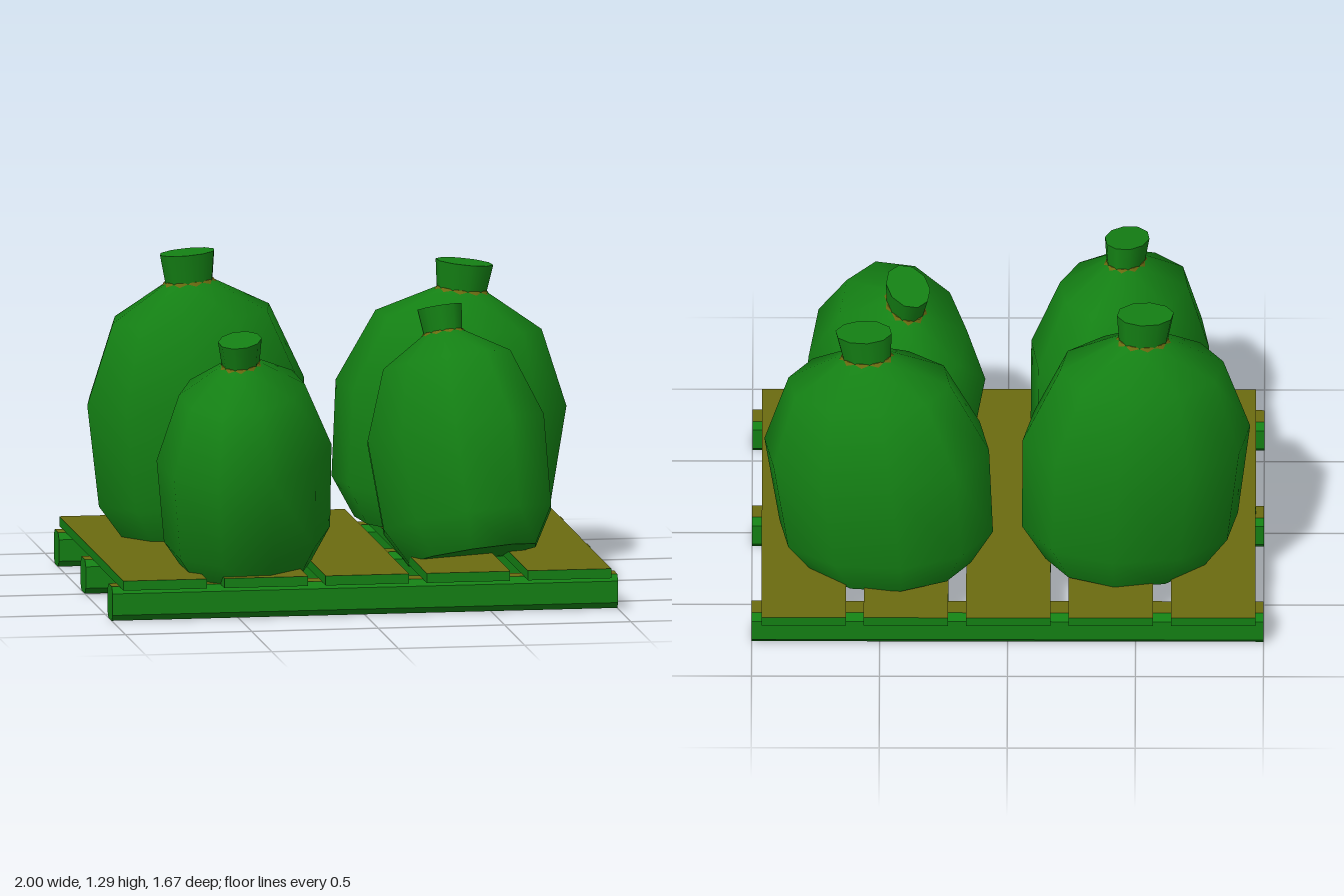
import * as THREE from 'three';

const green = new THREE.MeshStandardMaterial({ color: 0x148014 });
const olive = new THREE.MeshStandardMaterial({ color: 0x6b6b10 });
const rad = THREE.MathUtils.degToRad;

function add(parent, name, geometry, material) {
  const mesh = new THREE.Mesh(geometry, material);
  mesh.name = name;
  parent.add(mesh);
  return mesh;
}

// Timber: faces pointing up are olive, all others green
function addTimber(parent, name, source) {
  const geo = source.index ? source.toNonIndexed() : source;
  const normal = geo.attributes.normal;
  geo.clearGroups();
  for (let i = 0; i < normal.count; i += 3) {
    geo.addGroup(i, 3, normal.getY(i) > 0.9 ? 1 : 0);
  }
  return add(parent, name, geo, [green, olive]);
}

function createPallet() {
  const pallet = new THREE.Group();
  pallet.name = 'pallet';

  // Three bearers with chamfered edges
  const w = 0.066, h = 0.135, c = 0.025;
  const section = new THREE.Shape([
    [-w + c, 0], [w - c, 0], [w, c], [w, h - c],
    [w - c, h], [-w + c, h], [-w, h - c], [-w, c],
  ].map(([x, y]) => new THREE.Vector2(x, y)));
  for (const z of [-0.715, -0.05, 0.618]) {
    const geo = new THREE.ExtrudeGeometry(section, { depth: 2, bevelEnabled: false });
    geo.translate(0, 0, -1).rotateY(Math.PI / 2);
    addTimber(pallet, 'bearer', geo).position.z = z;
  }

  // Five deck planks
  for (let i = 0; i < 5; i++) {
    const plank = addTimber(pallet, 'plank', new THREE.BoxGeometry(0.33, 0.038, 1.595));
    plank.position.set(-0.803 + 0.4 * i, 0.152, -0.047);
  }
  return pallet;
}

// Tied sack: ten-sided, oval, turned by yaw and leaning along its long axis
function createSack({ x, y, z, yaw, lean, height }) {
  const sack = new THREE.Group();
  sack.name = 'sack';
  const profile = [[0.72, 0], [0.95, 0.16], [1, 0.565], [0.72, 0.875], [0.215, 1.005]]
    .map(([r, h]) => new THREE.Vector2(r, h));
  const turn = Math.PI / 2;

  add(sack, 'sackBody', new THREE.LatheGeometry(profile, 10).rotateY(turn), green);
  add(sack, 'sackBase', new THREE.CircleGeometry(0.72, 10).rotateX(Math.PI / 2), green);
  add(sack, 'sackNeck', new THREE.CylinderGeometry(0.25, 0.215, 0.12, 10).rotateY(turn), green)
    .position.y = 1.06;
  // Tie cord showing round the foot of the neck
  add(sack, 'tieCord', new THREE.CylinderGeometry(0.22, 0.25, 0.02, 10), olive)
    .position.y = 1.0;

  sack.scale.set(0.455, height, 0.335);
  sack.rotation.set(0, rad(yaw), rad(lean), 'YXZ');
  sack.position.set(x, y, z);
  return sack;
}

export function createModel() {
  const model = new THREE.Group();
  model.name = 'palletOfSacks';
  model.add(createPallet());
  const sacks = [
    { x: -0.467, y: 0.165, z: -0.385, yaw: 12, lean: 3.7, height: 1 },
    { x: 0.46, y: 0.165, z: -0.42, yaw: -14, lean: -5.8, height: 0.94 },
    { x: -0.41, y: 0.15, z: 0.345, yaw: -112, lean: -9, height: 0.83 },
    { x: 0.48, y: 0.168, z: 0.32, yaw: -70, lean: 15.5, height: 0.875 },
  ];
  for (const s of sacks) model.add(createSack(s));
  return model;
}
